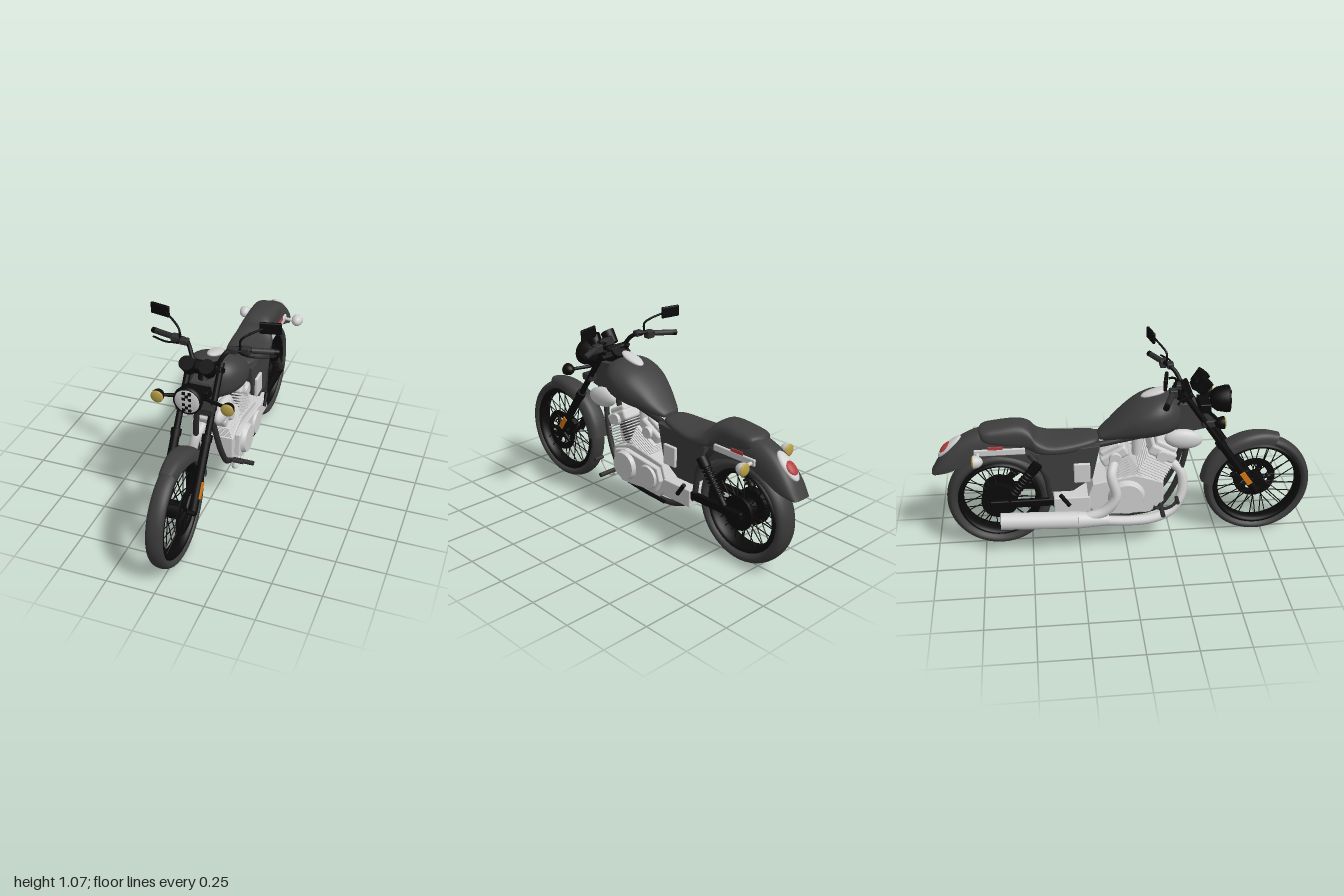
import * as THREE from 'three';
import { mergeVertices } from 'three/addons/utils/BufferGeometryUtils.js';
import { RoundedBoxGeometry } from 'three/addons/geometries/RoundedBoxGeometry.js';

const mat = (name, color, side = THREE.FrontSide) => {
  const m = new THREE.MeshStandardMaterial({ color, side });
  m.name = name;
  return m;
};
const paint = mat('dark grey paint', 0x3e3e3e, THREE.DoubleSide);
const rubber = mat('tyre rubber', 0x3b3b3b);
const black = mat('black metal', 0x0a0a0a);
const frameGrey = mat('frame grey', 0x2e2e2e);
const chrome = mat('polished metal', 0xcfcfcf);
const amber = mat('amber lens', 0xb89f48);
const orange = mat('orange reflector', 0xd8780f);
const red = mat('red lens', 0xb23c3c);

const V = (p) => new THREE.Vector3(...p);
const UP = new THREE.Vector3(0, 1, 0);
const spow = (v, e) => Math.sign(v) * Math.abs(v) ** e;
const mirrorX = (fn) => [1, -1].forEach(fn);

export function createModel() {
  const root = new THREE.Group();
  root.name = 'motorcycle';

  const add = (name, geo, material, pos = [0, 0, 0], rot = [0, 0, 0], parent = root) => {
    const m = new THREE.Mesh(geo, material);
    m.name = name;
    m.position.set(...pos);
    m.rotation.set(...rot);
    parent.add(m);
    return m;
  };
  const rod = (name, a, b, r, material, r2 = r, parent = root, sides = 16) => {
    const d = V(b).sub(V(a));
    const m = add(name, new THREE.CylinderGeometry(r2, r, d.length(), sides), material, V(a).add(V(b)).multiplyScalar(0.5).toArray(), [0, 0, 0], parent);
    m.quaternion.setFromUnitVectors(UP, d.normalize());
    return m;
  };
  const tube = (name, pts, r, material) =>
    add(name, new THREE.TubeGeometry(new THREE.CatmullRomCurve3(pts.map(V)), 40, r, 12), material);
  const box = (name, size, pos, material, rot, parent, r = 0.006) =>
    add(name, new RoundedBoxGeometry(...size, 2, r), material, pos, rot, parent);
  const ball = (name, r, scale, pos, material, rot) =>
    add(name, new THREE.SphereGeometry(r, 24, 16), material, pos, rot).scale.set(...scale);
  // Side-profile plate: [z, y] outline spanning x0..x1
  const plate = (name, pts, x0, x1, material) => {
    const g = new THREE.ExtrudeGeometry(new THREE.Shape(pts.map(([z, y]) => new THREE.Vector2(-z, y))),
      { depth: x1 - x0 - 0.012, bevelThickness: 0.006, bevelSize: 0.006, bevelSegments: 2 });
    return add(name, g.translate(0, 0, x0 + 0.006).rotateY(Math.PI / 2), material);
  };
  // Surface from a rule f(u, v) -> [x, y, z]
  const surface = (name, f, nu, nv, material) => {
    const pos = [], idx = [];
    for (let i = 0; i <= nu; i++) for (let j = 0; j <= nv; j++) pos.push(...f(i / nu, j / nv));
    for (let i = 0; i < nu; i++) for (let j = 0; j < nv; j++) {
      const a = i * (nv + 1) + j, b = a + nv + 1;
      idx.push(a, b, a + 1, b, b + 1, a + 1);
    }
    let g = new THREE.BufferGeometry();
    g.setAttribute('position', new THREE.Float32BufferAttribute(pos, 3));
    g.setIndex(idx);
    g = mergeVertices(g, 1e-5);
    g.computeVertexNormals();
    return add(name, g, material);
  };
  // Rounded body through sections [z, bottom, top, half width]
  const loft = (name, sections, e, material) => {
    const a = new THREE.CatmullRomCurve3(sections.map((s) => V(s.slice(0, 3))));
    const w = new THREE.CatmullRomCurve3(sections.map((s) => V([s[3], s[0], 0])));
    return surface(name, (u, v) => {
      const p = a.getPoint(u), t = v * Math.PI * 2;
      return [Math.max(w.getPoint(u).x, 0.001) * spow(Math.cos(t), e),
        (p.y + p.z) / 2 + (p.z - p.y) / 2 * spow(Math.sin(t), e), p.x];
    }, 48, 40, material);
  };
  // Fender: arched shell between a crown line and a lower edge line, both [z, y]; width is a rule of u
  const fender = (name, crown, edge, width) => {
    const line = (pts) => new THREE.CatmullRomCurve3(pts.map(([z, y]) => V([0, y, z])));
    const c = line(crown), d = line(edge);
    return surface(name, (u, v) => {
      const t = v * Math.PI, p = d.getPoint(u).lerp(c.getPoint(u), Math.max(0, Math.sin(t)) ** 0.7);
      return [width(u) * spow(Math.cos(t), 0.7), p.y, p.z];
    }, 30, 24, paint);
  };

  // Wheels
  const wheel = (name, z, y, R, tyreIn, halfW) => {
    const g = new THREE.Group();
    g.name = name;
    g.position.set(0, y, z);
    root.add(g);
    const ring = (n, r0, r1, hw, m) => {
      const t = add(n, new THREE.TorusGeometry((r0 + r1) / 2, (r1 - r0) / 2, 20, 64), m, [0, 0, 0], [0, Math.PI / 2, 0], g);
      t.scale.z = hw / ((r1 - r0) / 2);
    };
    ring('tyre', tyreIn, R, halfW, rubber);
    ring('rim', tyreIn - 0.025, tyreIn + 0.012, halfW * 0.85, black);
    rod('hub', [-0.05, 0, 0], [0.05, 0, 0], 0.045, black, 0.045, g, 24);
    rod('axle', [-0.1, 0, 0], [0.1, 0, 0], 0.012, black, 0.012, g);
    for (let i = 0; i < 36; i++) {
      const a = i / 36 * Math.PI * 2, b = a + (i % 4 < 2 ? 0.4 : -0.4), s = i % 2 ? 1 : -1, r = tyreIn - 0.015;
      rod('spoke', [s * 0.04, Math.sin(a) * 0.04, Math.cos(a) * 0.04], [s * 0.008, Math.sin(b) * r, Math.cos(b) * r], 0.0028, black, 0.0028, g, 5);
    }
    return g;
  };
  const FZ = 0.714, FY = 0.286, RZ = -0.662, RY = 0.283;
  const front = wheel('frontWheel', FZ, FY, 0.286, 0.236, 0.043);
  const rear = wheel('rearWheel', RZ, RY, 0.275, 0.212, 0.06);
  const disc = new THREE.Shape().absarc(0, 0, 0.115, 0, Math.PI * 2);
  disc.holes.push(new THREE.Path().absarc(0, 0, 0.078, 0, Math.PI * 2));
  add('brakeDisc', new THREE.ExtrudeGeometry(disc, { depth: 0.006, bevelEnabled: false, curveSegments: 32 }), black, [0.047, 0, 0], [0, Math.PI / 2, 0], front);
  for (let i = 0; i < 5; i++) {
    const a = i / 5 * Math.PI * 2;
    rod('discCarrier', [0.048, 0, 0], [0.05, 0.09 * Math.sin(a), 0.09 * Math.cos(a)], 0.014, black, 0.01, front);
  }
  rod('brakeDrum', [-0.065, 0, 0], [-0.03, 0, 0], 0.095, black, 0.095, rear, 32);
  rod('sprocket', [0.055, 0, 0], [0.068, 0, 0], 0.09, black, 0.09, rear, 32);

  // Fenders
  const arc = (r, a0, a1) => Array.from({ length: 8 }, (_, i) => {
    const a = (a0 + (a1 - a0) * i / 7) * Math.PI / 180;
    return [FZ + r * Math.cos(a), FY + r * Math.sin(a)];
  });
  fender('frontFender', arc(0.31, 70, 173), arc(0.25, 72, 174), (u) => 0.058 * (0.72 + 0.28 * Math.min(1, u * 3)));
  fender('rearFender',
    [[-0.42, 0.6], [-0.56, 0.68], [-0.72, 0.69], [-0.84, 0.645], [-0.94, 0.555], [-1, 0.46]],
    [[-0.42, 0.46], [-0.56, 0.54], [-0.7, 0.56], [-0.82, 0.52], [-0.9, 0.485], [-0.98, 0.458]],
    (u) => 0.077 * (1 - 0.3 * Math.max(0, (u - 0.75) / 0.25) ** 2));

  // Fuel tank, seat and covers
  loft('fuelTank', [[0.285, 0.7, 0.73, 0.002], [0.278, 0.67, 0.79, 0.075], [0.24, 0.645, 0.835, 0.122], [0.17, 0.63, 0.85, 0.152],
    [0.08, 0.62, 0.82, 0.15], [0, 0.615, 0.765, 0.122], [-0.08, 0.61, 0.69, 0.085], [-0.135, 0.61, 0.64, 0.045], [-0.14, 0.62, 0.63, 0.002]], 0.85, paint);
  ball('tankCap', 0.04, [0.92, 0.4, 1.9], [0, 0.85, 0.155], chrome, [-0.28, 0, 0]);
  loft('seat', [[-0.13, 0.6, 0.61, 0.002], [-0.15, 0.585, 0.63, 0.062], [-0.3, 0.56, 0.625, 0.108], [-0.4, 0.56, 0.628, 0.116], [-0.455, 0.56, 0.655, 0.106],
    [-0.49, 0.57, 0.7, 0.09], [-0.54, 0.58, 0.722, 0.08], [-0.65, 0.6, 0.716, 0.08], [-0.73, 0.63, 0.7, 0.068], [-0.755, 0.66, 0.68, 0.002]], 0.7, paint);
  plate('sideCovers', [[-0.14, 0.6], [-0.46, 0.57], [-0.43, 0.45], [-0.38, 0.35], [-0.28, 0.35], [-0.18, 0.42]], -0.095, 0.095, paint);
  plate('neckCover', [[0.27, 0.8], [0.36, 0.79], [0.41, 0.66], [0.3, 0.64], [0.25, 0.68]], -0.055, 0.055, paint);
  mirrorX((s) => {
    box('batteryPanel', [0.02, 0.11, 0.085], [s * 0.1, 0.455, -0.23], chrome);
    box('fenderStrut', [0.014, 0.036, 0.26], [s * 0.085, 0.592, -0.645], chrome);
    box('sideReflector', [0.006, 0.018, 0.075], [s * 0.09, 0.617, -0.665], red, [0, 0, 0], root, 0.002);
  });

  // Front fork
  const F = (y) => 0.69 - 0.68 * (y - FY), rake = -Math.atan(0.68);
  mirrorX((s) => {
    const x = s * 0.08;
    rod('forkLeg', [x, 0.27, F(0.27)], [x, 0.58, F(0.58)], 0.022, black);
    rod('forkTube', [x, 0.56, F(0.56)], [x, 0.88, F(0.88)], 0.016, black);
    rod('forkSeal', [x, 0.56, F(0.56)], [x, 0.59, F(0.59)], 0.026, black);
    box('forkReflector', [0.007, 0.085, 0.03], [s * 0.102, 0.368, F(0.368)], orange, [rake, 0, 0], root, 0.003);
    box('brakeCaliper', [0.03, 0.07, 0.04], [s * 0.066, 0.36, F(0.36) - 0.05], black, [rake, 0, 0]);
  });
  box('lowerClamp', [0.19, 0.038, 0.07], [0, 0.696, F(0.696) + 0.012], frameGrey);
  box('upperClamp', [0.19, 0.025, 0.07], [0, 0.85, F(0.85)], black, [rake, 0, 0]);
  rod('steeringNeck', [0, 0.66, F(0.66) - 0.03], [0, 0.86, F(0.86) - 0.03], 0.032, black);

  // Headlight and gauges
  const shell = new THREE.LatheGeometry([[0.001, 0], [0.04, 0.006], [0.062, 0.035], [0.072, 0.085], [0.07, 0.1], [0.062, 0.1]].map((p) => new THREE.Vector2(...p)), 36);
  add('headlightShell', shell, black, [0, 0.795, 0.44], [Math.PI / 2, 0, 0]);
  ball('headlightLens', 0.066, [1, 1, 0.2], [0, 0.795, 0.534], chrome);
  for (let i = 0; i < 7; i++) for (let j = 0; j < 3; j++) if ((i + j) % 2 === 0 && i !== 3)
    box('lensFacet', [0.015, 0.015, 0.006], [(j - 1) * 0.015, 0.75 + i * 0.015, 0.545], black, [0, 0, 0], root, 0.001);
  box('headlightBracket', [0.13, 0.05, 0.06], [0, 0.77, 0.41], black);
  mirrorX((s) => {
    rod('gauge', [s * 0.05, 0.868, 0.37], [s * 0.05, 0.925, 0.415], 0.032, black, 0.038, root, 28);
  });
  box('gaugePanel', [0.08, 0.05, 0.05], [0, 0.885, 0.37], black, [0.5, 0, 0]);

  // Turn signals: shallow lens on one side, deep housing dome on the other
  const signal = (name, x, y, z, dir, shellMat) => {
    const dome = (n, m, d, depth) => {
      const g = new THREE.SphereGeometry(0.033, 24, 10, 0, Math.PI * 2, 0, Math.PI / 2);
      add(n, g, m, [x, y, z], [d * Math.PI / 2, 0, 0]).scale.y = depth;
    };
    dome(name + 'Lens', amber, dir, 0.35);
    dome(name + 'Housing', shellMat, -dir, 1.45);
  };
  mirrorX((s) => {
    signal('frontSignal', s * 0.178, 0.75, 0.482, 1, black);
    rod('frontSignalArm', [s * 0.06, 0.75, 0.43], [s * 0.16, 0.75, 0.46], 0.009, black);
    signal('rearSignal', s * 0.158, 0.583, -0.775, -1, chrome);
    rod('rearSignalArm', [s * 0.07, 0.59, -0.755], [s * 0.14, 0.585, -0.755], 0.009, chrome);
  });
  // Tail light follows the fender slope
  ball('tailLightBase', 0.038, [1, 0.5, 2.2], [0, 0.595, -0.9], chrome, [-0.74, 0, 0]);
  ball('tailLightLens', 0.031, [1, 0.6, 1.45], [0, 0.588, -0.917], red, [-0.77, 0, 0]);

  // Handlebar, controls and mirrors
  mirrorX((s) => {
    tube('handlebar', [[0, 0.87, 0.3], [s * 0.06, 0.875, 0.295], [s * 0.09, 0.92, 0.27], [s * 0.12, 0.94, 0.24], [s * 0.2, 0.932, 0.215], [s * 0.31, 0.92, 0.172]], 0.011, black);
    rod('grip', [s * 0.205, 0.93, 0.212], [s * 0.305, 0.921, 0.174], 0.015, frameGrey);
    rod('gripEnd', [s * 0.305, 0.921, 0.174], [s * 0.327, 0.919, 0.165], 0.015, black);
    box('switchHousing', [0.045, 0.042, 0.04], [s * 0.18, 0.928, 0.222], frameGrey);
    box('brakeReservoir', [0.045, 0.03, 0.035], [s * 0.125, 0.938, 0.25], frameGrey);
    tube('lever', [[s * 0.15, 0.93, 0.25], [s * 0.21, 0.925, 0.262], [s * 0.3, 0.918, 0.225]], 0.005, black);
    tube('mirrorStalk', [[s * 0.155, 0.94, 0.235], [s * 0.158, 0.99, 0.235], [s * 0.19, 1.015, 0.215], [s * 0.25, 1.04, 0.18]], 0.0055, black);
    box('mirror', [0.107, 0.06, 0.016], [s * 0.283, 1.042, 0.168], black, [0, s * 0.2, 0]);
  });

  // V-twin engine
  [[0.5, 'front'], [-0.5, 'rear']].forEach(([tilt, n]) => {
    const c = new THREE.Group();
    c.name = n + 'Cylinder';
    c.position.set(0, 0.3, 0.065);
    c.rotation.x = tilt;
    root.add(c);
    rod('barrel', [0, 0.05, 0], [0, 0.24, 0], 0.066, frameGrey, 0.066, c, 24);
    for (let i = 0; i < 9; i++) box('coolingFin', [0.2, 0.006, 0.15], [0, 0.11 + i * 0.0145, 0], chrome, [0, 0, 0], c, 0.002);
    box('head', [0.18, 0.06, 0.15], [0, 0.262, 0], chrome, [0, 0, 0], c, 0.015);
    box('rockerCover', [0.14, 0.035, 0.12], [0, 0.3, 0], chrome, [0, 0, 0], c, 0.014);
    mirrorX((s) => rod('headCover', [s * 0.085, 0.255, 0], [s * 0.105, 0.255, 0], 0.035, chrome, 0.03, c));
  });
  rod('intake', [0, 0.5, 0.065], [0, 0.62, 0.065], 0.028, chrome);
  plate('crankcase', [[0.19, 0.37], [0.05, 0.42], [-0.17, 0.38], [-0.21, 0.27], [-0.15, 0.2], [0.12, 0.2], [0.19, 0.26]], -0.105, 0.105, chrome);
  plate('alternatorCover', [[0.15, 0.37], [0.08, 0.39], [-0.08, 0.37], [-0.16, 0.36], [-0.18, 0.3], [-0.15, 0.24], [0, 0.22], [0.1, 0.215], [0.16, 0.26]], 0.1, 0.132, chrome);
  rod('generatorCap', [0.12, 0.31, 0.07], [0.155, 0.31, 0.07], 0.085, chrome, 0.072, root, 36);
  rod('sprocketCap', [0.12, 0.3, -0.1], [0.145, 0.3, -0.1], 0.07, chrome, 0.06, root, 36);
  rod('clutchCap', [-0.1, 0.3, 0], [-0.14, 0.3, 0], 0.1, chrome, 0.085, root, 36);
  box('pivotCover', [0.22, 0.095, 0.19], [0, 0.265, -0.285], chrome);
  mirrorX((s) => ball('airCover', 0.1, [0.36, 0.54, 1], [s * 0.09, 0.62, 0.295], chrome, [0.12, 0, 0]));

  // Exhaust on the right side
  tube('frontExhaustPipe', [[-0.04, 0.47, 0.23], [-0.06, 0.41, 0.29], [-0.085, 0.3, 0.295], [-0.11, 0.21, 0.24], [-0.135, 0.178, 0.14], [-0.15, 0.178, 0], [-0.155, 0.2, -0.2]], 0.026, chrome);
  tube('rearExhaustPipe', [[-0.08, 0.5, -0.06], [-0.135, 0.45, -0.08], [-0.155, 0.33, -0.06], [-0.158, 0.25, -0.12], [-0.157, 0.215, -0.22]], 0.027, chrome);
  rod('mufflerCone', [-0.155, 0.195, -0.1], [-0.157, 0.205, -0.26], 0.03, chrome, 0.046, root, 28);
  rod('muffler', [-0.157, 0.205, -0.26], [-0.158, 0.222, -0.66], 0.046, chrome, 0.044, root, 28);
  rod('mufflerOutlet', [-0.158, 0.222, -0.655], [-0.158, 0.222, -0.663], 0.032, black);

  // Frame, swingarm and shocks
  mirrorX((s) => {
    tube('frameCradle', [[s * 0.02, 0.68, 0.34], [s * 0.05, 0.5, 0.31], [s * 0.065, 0.32, 0.25], [s * 0.07, 0.21, 0.17], [s * 0.08, 0.185, 0.05], [s * 0.08, 0.185, -0.25], [s * 0.085, 0.27, -0.38], [s * 0.085, 0.45, -0.42], [s * 0.075, 0.57, -0.5]], 0.015, frameGrey);
    rod('topTube', [s * 0.03, 0.66, 0.3], [s * 0.07, 0.57, -0.3], 0.016, frameGrey);
    box('swingarm', [0.026, 0.042, 0.36], [s * 0.09, 0.285, -0.53], black);
    const top = [s * 0.11, 0.525, -0.455], low = [s * 0.11, 0.32, -0.615];
    rod('shockBody', top, low, 0.016, black);
    for (let i = 0; i < 10; i++) {
      const p = V(top).lerp(V(low), 0.12 + i * 0.075);
      add('shockCoil', new THREE.TorusGeometry(0.022, 0.006, 8, 20), black, p.toArray(), [Math.PI / 2 + 0.66, 0, 0]);
    }
    rod('shockCap', top, V(top).lerp(V(low), 0.2).toArray(), 0.028, black);
    rod('footPeg', [s * 0.09, 0.238, 0.18], [s * 0.215, 0.238, 0.18], 0.012, frameGrey);
    rod('pedalPeg', [s * 0.13, 0.293, 0.26], [s * 0.185, 0.293, 0.26], 0.01, frameGrey);
    rod('foldedPeg', [s * 0.115, 0.27, -0.3], [s * 0.115, 0.335, -0.345], 0.011, black);
  });
  tube('shiftPedal', [[0.14, 0.24, 0.14], [0.13, 0.21, 0.2], [0.13, 0.26, 0.26], [0.14, 0.293, 0.26]], 0.007, chrome);
  tube('brakePedal', [[-0.13, 0.24, 0.14], [-0.15, 0.24, 0.2], [-0.15, 0.27, 0.25], [-0.14, 0.293, 0.26]], 0.008, frameGrey);
  rod('sideStand', [0.1, 0.2, 0.08], [0.11, 0.185, -0.2], 0.01, black);
  return root;
}
